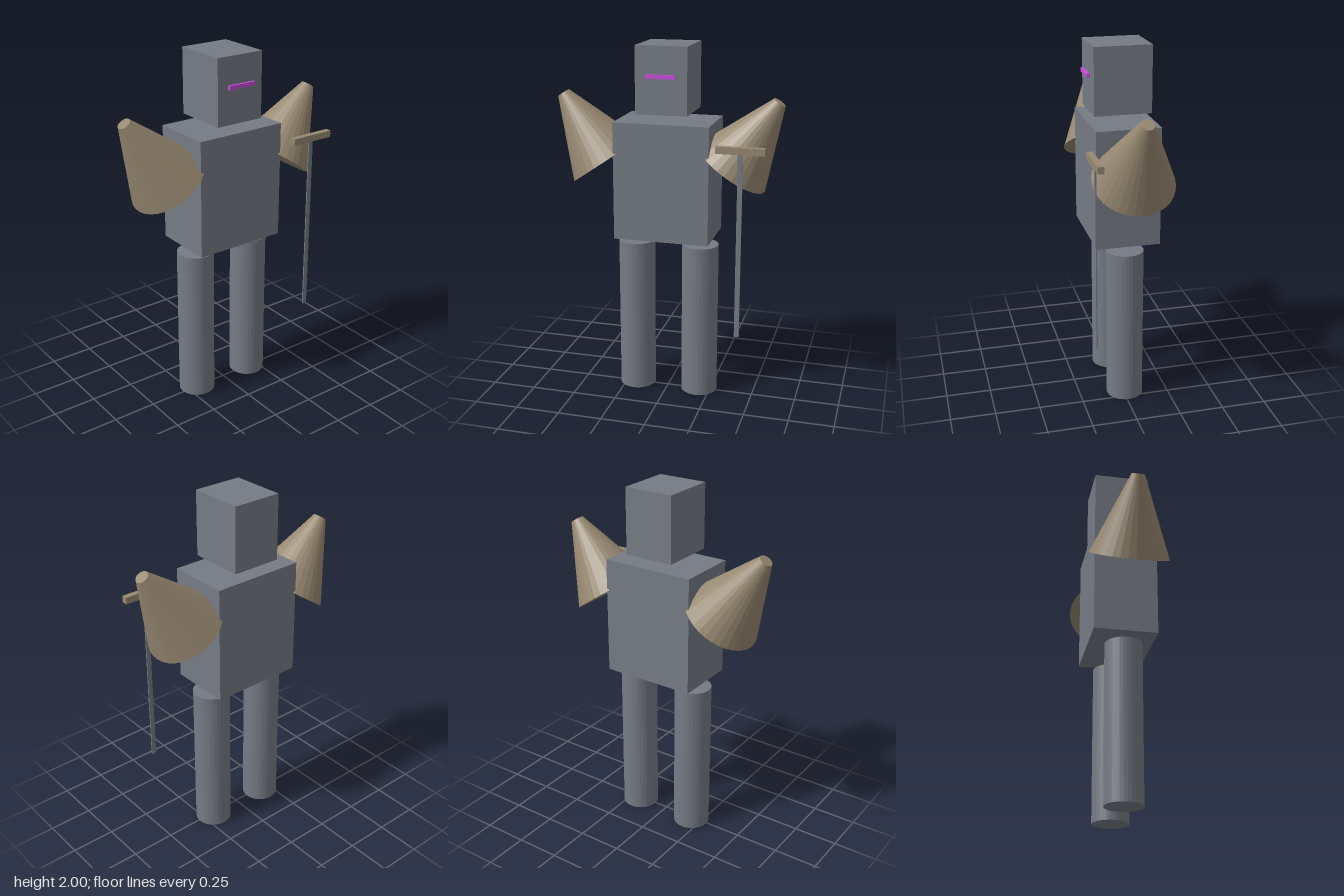
import * as THREE from 'three';

const material = (name, color) => {
  const m = new THREE.MeshStandardMaterial({ color, flatShading: true });
  m.name = name;
  return m;
};

export function createModel() {
  const group = new THREE.Group();
  const steel = material('steelGrey', 0x767b84);
  const bronze = material('bronze', 0x978871);
  const glow = material('magenta', 0xc94ddb);
  const Z = -0.009; // the body sits slightly behind the middle

  const add = (name, geometry, mat, x, y, z) => {
    const mesh = new THREE.Mesh(geometry, mat);
    mesh.name = name;
    mesh.position.set(x, y, z);
    group.add(mesh);
    return mesh;
  };
  const box = (name, mat, w, h, d, x, y, z) =>
    add(name, new THREE.BoxGeometry(w, h, d), mat, x, y, z);

  // Head, visor slit and torso
  box('head', steel, 0.284, 0.363, 0.313, 0, 1.8185, Z);
  box('visor', glow, 0.164, 0.022, 0.014, 0, 1.841, 0.162);
  box('torso', steel, 0.53, 0.652, 0.352, 0, 1.264, Z);

  // Legs and flared shoulder guards, mirrored
  for (const s of [1, -1]) {
    const side = s > 0 ? 'left' : 'right';
    add(side + 'Leg', new THREE.CylinderGeometry(0.103, 0.103, 0.89, 32), steel, s * 0.185, 0.445, Z);
    const guard = add(side + 'ShoulderGuard',
      new THREE.CylinderGeometry(0.036, 0.2215, 0.443, 32), bronze, s * 0.481, 1.525, Z);
    guard.rotation.z = -s * 0.598;
  }

  // Sword hanging point down in front of the left shoulder
  box('swordGuard', bronze, 0.26, 0.037, 0.034, 0.443, 1.4855, 0.213);
  box('swordBlade', steel, 0.027, 1.018, 0.007, 0.443, 0.958, 0.213);

  return group;
}
